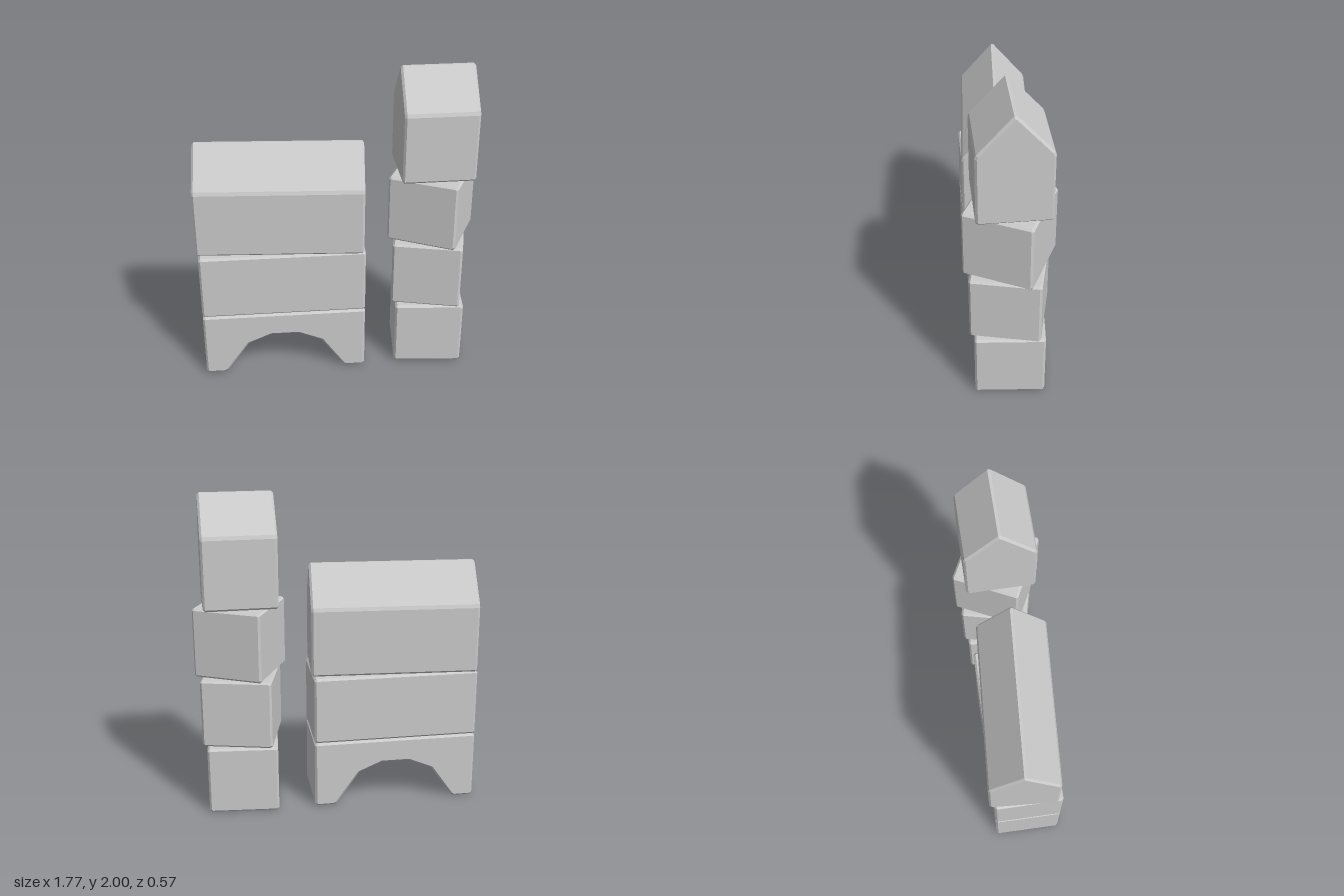
import * as THREE from 'three';

const BEVEL = 0.013;
const DEPTH = 0.43;

// Cut every outward corner of a counter-clockwise profile, leaving inward ones alone
function chamfer(points) {
  const v = points.map(([x, y]) => new THREE.Vector2(x, y));
  const out = [];
  v.forEach((p, i) => {
    const toPrev = v[(i + v.length - 1) % v.length].clone().sub(p).normalize();
    const toNext = v[(i + 1) % v.length].clone().sub(p).normalize();
    if (toNext.cross(toPrev) > 0.01) {
      out.push(p.clone().addScaledVector(toPrev, BEVEL), p.clone().addScaledVector(toNext, BEVEL));
    } else out.push(p);
  });
  return out;
}

// Extrude a profile into a centred block with all edges chamfered
function blockGeometry(points, depth) {
  const geo = new THREE.ExtrudeGeometry(new THREE.Shape(chamfer(points)), {
    depth: depth - 2 * BEVEL,
    bevelEnabled: true,
    bevelThickness: BEVEL,
    bevelSize: BEVEL,
    bevelOffset: -BEVEL,
    bevelSegments: 1,
  });
  return geo.translate(0, 0, BEVEL - depth / 2);
}

const boxBlock = (w, h) =>
  blockGeometry([[-w / 2, 0], [w / 2, 0], [w / 2, h], [-w / 2, h]], DEPTH);

// Gabled block whose ridge runs along x
function roofBlock(length, eave, ridge) {
  const d = DEPTH / 2;
  return blockGeometry([[-d, 0], [d, 0], [d, eave], [0, ridge], [-d, eave]], length).rotateY(Math.PI / 2);
}

function archBlock(w, h) {
  const arch = [[0.385, 0], [0.237, 0.213], [0.087, 0.277]];
  return blockGeometry([
    [w / 2, 0], [w / 2, h], [-w / 2, h], [-w / 2, 0],
    ...arch.map(([x, y]) => [-x, y]),
    ...arch.slice().reverse(),
  ], DEPTH);
}

export function createModel() {
  const group = new THREE.Group();
  const material = new THREE.MeshStandardMaterial({ color: 0xcccccc, flatShading: true });
  const add = (name, geometry, x, y, turn = 0) => {
    const mesh = new THREE.Mesh(geometry, material);
    mesh.name = name;
    mesh.position.set(x, y, 0);
    mesh.rotation.y = turn;
    group.add(mesh);
  };

  // Wide stack: arch, plain block, gabled roof
  const wideX = -0.362;
  add('archBlock', archBlock(1.04, 0.435), wideX, 0);
  add('longBlock', boxBlock(1.04, 0.43), wideX, 0.437);
  add('longRoofBlock', roofBlock(1.04, 0.43, 0.682), wideX, 0.873, -0.063);

  // Tower: three cubes twisting progressively, then a short gabled roof
  const towerX = 0.594;
  [-0.08, -0.23, -0.455].forEach((turn, i) =>
    add('cubeBlock' + (i + 1), boxBlock(0.44, 0.436), towerX, i * 0.4435, turn));
  add('shortRoofBlock', roofBlock(0.45, 0.44, 0.682), towerX, 1.328, 0.01);

  return group;
}
